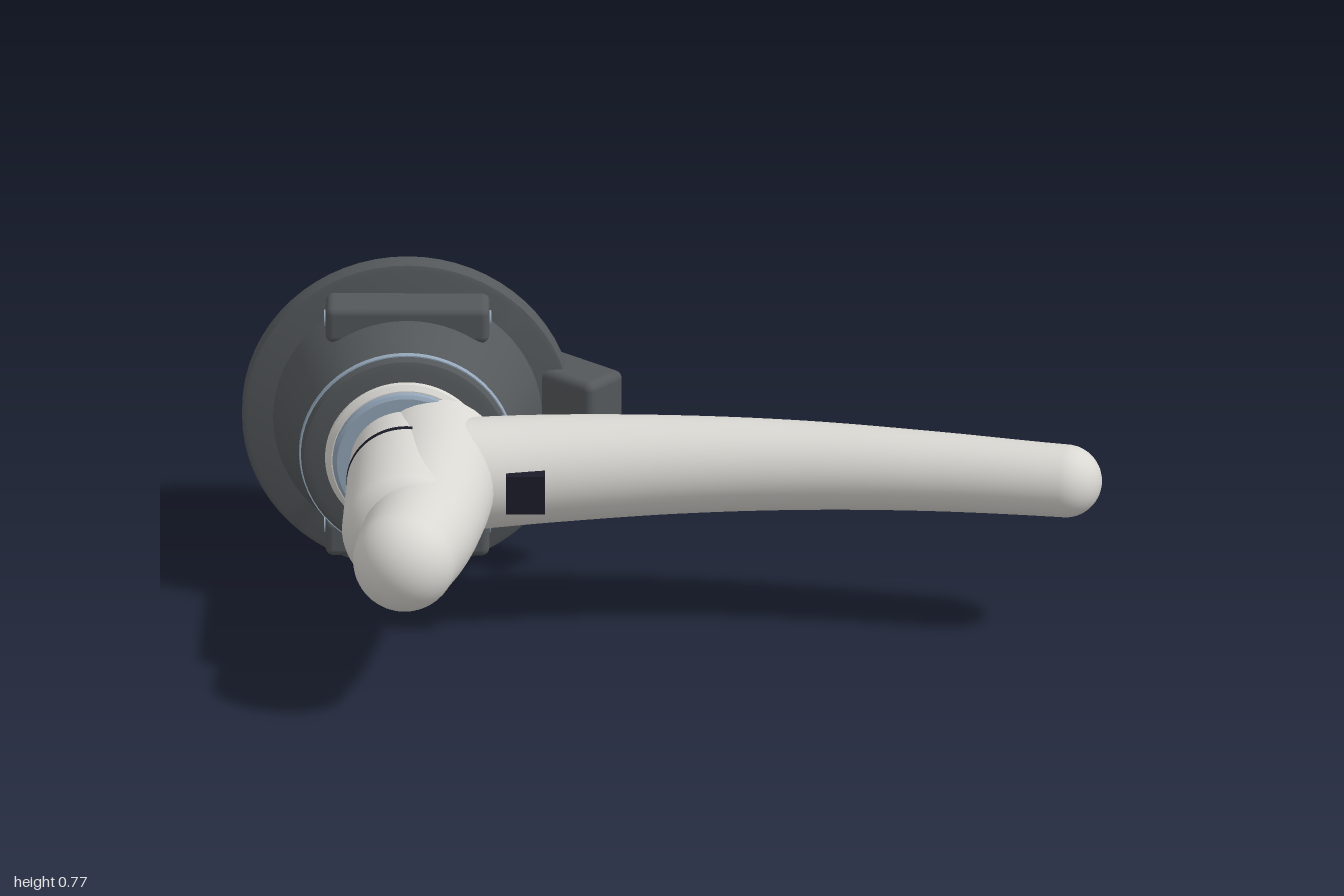
import * as THREE from 'three';
import { toCreasedNormals } from 'three/addons/utils/BufferGeometryUtils.js';
import { RoundedBoxGeometry } from 'three/addons/geometries/RoundedBoxGeometry.js';

const AX = -0.62, AY = 0.39; // axis of the round housing

export function createModel() {
  const model = new THREE.Group();
  model.name = 'leverHandle';

  const material = (name, color) => {
    const m = new THREE.MeshStandardMaterial({ color });
    m.name = name;
    return m;
  };
  const ivory = material('ivory', 0xdad8d3);
  const slate = material('slateGrey', 0x54585b);
  const blue = material('steelBlue', 0x94a6b9);
  const navy = material('nearBlack', 0x1c1c2a);

  const add = (name, geometry, mat, x = 0, y = 0, z = 0) => {
    const mesh = new THREE.Mesh(geometry, mat);
    mesh.name = name;
    mesh.position.set(x, y, z);
    model.add(mesh);
    return mesh;
  };

  // Part turned about the housing axis; profile is [radius, z] from back to front
  const turned = (name, profile, mat) => {
    const g = new THREE.LatheGeometry(profile.map(([r, z]) => new THREE.Vector2(r, z)), 64);
    g.rotateX(Math.PI / 2);
    return add(name, toCreasedNormals(g, 0.5), mat, AX, AY, 0);
  };

  // Round bar along a curve; stations are [x, z, radius], with a ball at the tip
  const taperedBar = (name, stations, mat) => {
    const path = new THREE.CatmullRomCurve3(stations.map(([x, z]) => new THREE.Vector3(x, AY, z)));
    const radii = new THREE.SplineCurve(stations.map(([, , r], i) => new THREE.Vector2(i, r)));
    const rings = 40, sides = 40;
    const g = new THREE.TubeGeometry(path, rings, 1, sides);
    const pos = g.attributes.position, v = new THREE.Vector3();
    // Scale each ring about its centre; radii follow the distance along the bar
    const lengths = stations.map((_, i) => {
      const total = path.getLengths(400);
      return total[Math.round(400 * i / (stations.length - 1))] / total[400];
    });
    for (let i = 0; i <= rings; i++) {
      const u = i / rings;
      let k = 0;
      while (k < lengths.length - 2 && lengths[k + 1] < u) k++;
      const t = (k + (u - lengths[k]) / (lengths[k + 1] - lengths[k])) / (stations.length - 1);
      const r = radii.getPoint(Math.min(1, t)).y;
      const c = path.getPointAt(u);
      for (let j = 0; j <= sides; j++) {
        const n = i * (sides + 1) + j;
        v.fromBufferAttribute(pos, n).sub(c).multiplyScalar(r).add(c);
        pos.setXYZ(n, v.x, v.y, v.z);
      }
    }
    add(name, g, mat);
    const [x, z, r] = stations[stations.length - 1];
    add(name + 'Tip', new THREE.SphereGeometry(r, 40, 24), mat, x, AY, z);
  };

  // Rear drum and its cap, with a shallow groove around the cap face
  turned('rearDrum', [[0, -0.605], [0.245, -0.605], [0.262, -0.597], [0.27, -0.58], [0.27, -0.38], [0, -0.38]], ivory);
  turned('rearCap', [
    [0, -0.633], [0.198, -0.633], [0.2, -0.629], [0.204, -0.629], [0.206, -0.633],
    [0.232, -0.633], [0.242, -0.628], [0.246, -0.618], [0.246, -0.6], [0, -0.6],
  ], blue);

  // Flange and conical collar
  turned('flange', [[0, -0.39], [0.385, -0.39], [0.385, -0.353], [0.381, -0.344], [0.37, -0.34], [0, -0.34]], slate);
  turned('collar', [
    [0, -0.36], [0.315, -0.36], [0.312, -0.335], [0.247, -0.13], [0.246, -0.118],
    [0.238, -0.106], [0.22, -0.1], [0, -0.1],
  ], slate);
  turned('collarTrim', [[0.2, -0.131], [0.251, -0.131], [0.249, -0.119], [0.2, -0.119]], blue);
  turned('neckRing', [[0, -0.105], [0.192, -0.105], [0.187, -0.092], [0.175, -0.082], [0, -0.082]], ivory);
  turned('neckDisc', [[0, -0.09], [0.174, -0.09], [0.17, -0.07], [0.162, -0.065], [0, -0.065]], blue);

  // Short spindle stub with a rounded end and a dark index ring
  const stub = [[0, -0.09], [0.13, -0.09], [0.138, 0.05], [0.147, 0.33]];
  for (let i = 1; i <= 8; i++) {
    const a = (i / 8) * Math.PI / 2;
    stub.push([0.147 * Math.cos(a) ** 0.8, 0.33 + 0.08 * Math.sin(a)]);
  }
  stub[stub.length - 1][0] = 0;
  turned('spindleStub', stub, ivory);
  turned('indexRing', [[0.12, 0.042], [0.1395, 0.042], [0.1395, 0.056], [0.12, 0.056]], navy);

  // Forward grip and the long sideways lever
  taperedBar('forwardGrip', [
    [-0.553, -0.09, 0.155], [-0.558, 0.05, 0.147], [-0.57, 0.2, 0.141], [-0.592, 0.37, 0.131], [-0.62, 0.51, 0.12],
  ], ivory);
  taperedBar('lever', [
    [-0.54, 0.005, 0.132], [-0.3, -0.037, 0.126], [0, -0.065, 0.115], [0.3, -0.063, 0.104],
    [0.6, -0.03, 0.093], [0.91, 0.025, 0.085],
  ], ivory);

  // Small dark button on the lever
  add('leverButton', new THREE.BoxGeometry(0.09, 0.095, 0.05), navy, -0.343, 0.388, 0.095);

  // Clips above and below the collar, each with a pin through it
  for (const s of [1, -1]) {
    const place = s > 0 ? 'upper' : 'lower';
    add(place + 'Clip', new RoundedBoxGeometry(0.38, 0.09, 0.12, 3, 0.018), slate, AX, AY + s * 0.268, -0.305);
    for (const e of [1, -1]) {
      const pin = add(place + 'ClipPin', new THREE.CylinderGeometry(0.019, 0.019, 0.008, 24), blue,
        AX + e * 0.19, AY + s * 0.26, -0.318);
      pin.rotation.z = Math.PI / 2;
    }
  }

  // Slanted side block with two small holes on its outer face
  const block = new THREE.Group();
  block.name = 'sideBlock';
  block.position.set(-0.243, AY - 0.002, -0.366);
  block.rotation.y = -0.71;
  const body = new THREE.Mesh(new RoundedBoxGeometry(0.23, 0.247, 0.125, 3, 0.02), slate);
  body.name = 'sideBlockBody';
  block.add(body);
  for (const s of [1, -1]) {
    const hole = new THREE.Mesh(new THREE.CylinderGeometry(0.007, 0.007, 0.003, 16), navy);
    hole.name = 'blockHole';
    hole.rotation.x = Math.PI / 2;
    hole.position.set(0, s * 0.06, -0.0625);
    block.add(hole);
  }
  model.add(block);

  return model;
}
